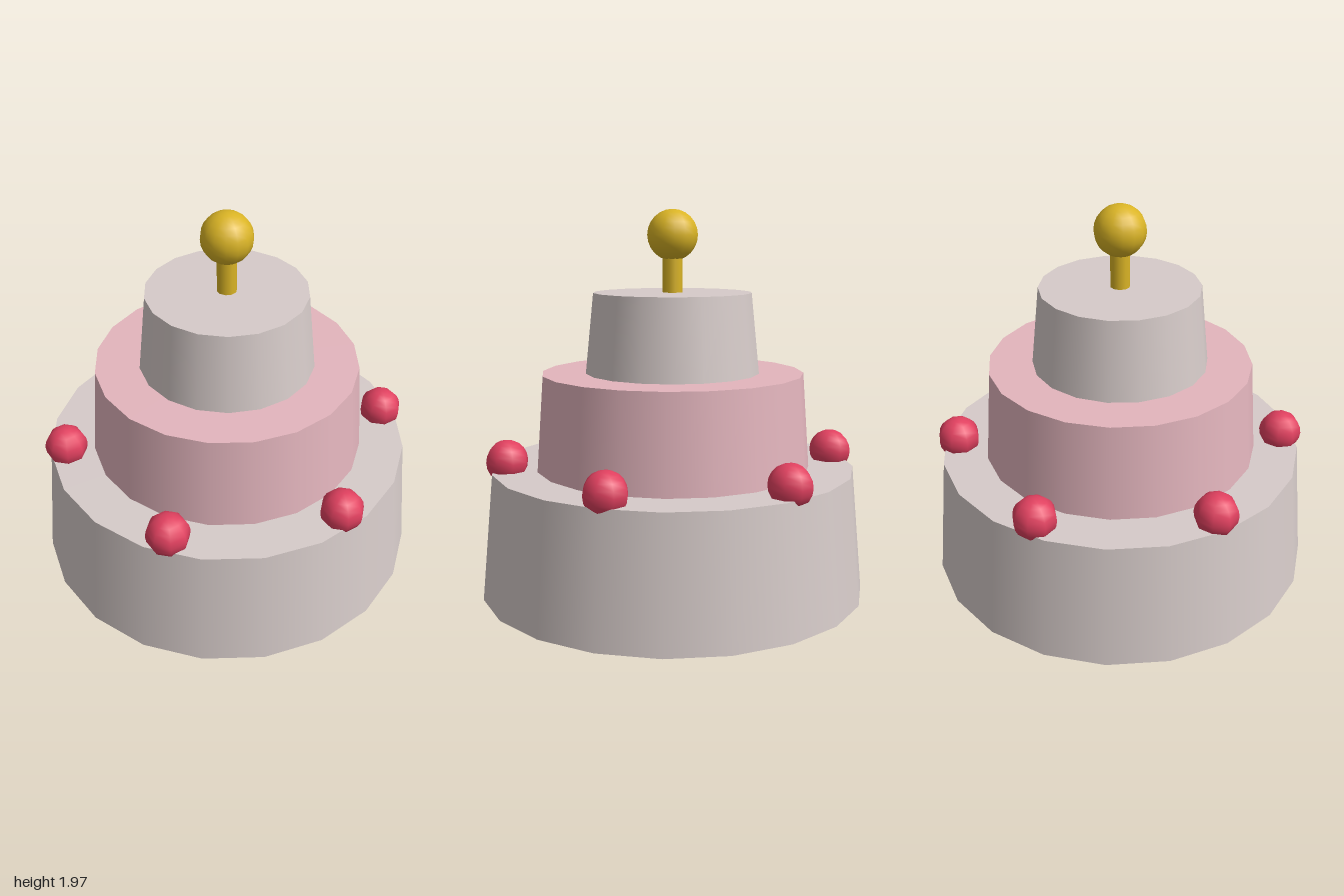
import * as THREE from 'three';

const material = (name, color) => {
  const m = new THREE.MeshStandardMaterial({ color });
  m.name = name;
  return m;
};

export function createModel() {
  const cream = material('cream icing', 0xd6cbc9);
  const pink = material('pink icing', 0xe3b5bd);
  const red = material('cherry red', 0xe0405f);
  const gold = material('gold', 0xdab425);

  const cake = new THREE.Group();
  cake.name = 'tieredCake';

  const add = (name, geometry, mat, x, y, z) => {
    const mesh = new THREE.Mesh(geometry, mat);
    mesh.name = name;
    mesh.position.set(x, y, z);
    cake.add(mesh);
  };

  // Tapered drum from y0 to y1, with a corner on the x axis
  const drum = (name, mat, rTop, rBottom, y0, y1, sides) => add(
    name,
    new THREE.CylinderGeometry(rTop, rBottom, y1 - y0, sides, 1, false, Math.PI / 2),
    mat, 0, (y0 + y1) / 2, 0,
  );

  // Three tiers
  drum('bottomTier', cream, 0.94, 1, 0, 0.65, 20);
  drum('middleTier', pink, 0.675, 0.711, 0.65, 1.14, 20);
  drum('topTier', cream, 0.407, 0.449, 1.14, 1.55, 18);

  // Topper: stalk and ball
  drum('topperStalk', gold, 0.05, 0.05, 1.55, 1.78, 10);
  add('topperBall', new THREE.SphereGeometry(0.13, 14, 12), gold, 0, 1.84, 0);

  // Ring of cherries on the bottom tier
  const cherry = new THREE.SphereGeometry(0.11, 8, 10);
  for (let i = 0; i < 6; i++) {
    const a = (i * Math.PI) / 3;
    add(`cherry${i + 1}`, cherry, red, 0.857 * Math.cos(a), 0.697, 0.857 * Math.sin(a));
  }

  return cake;
}
